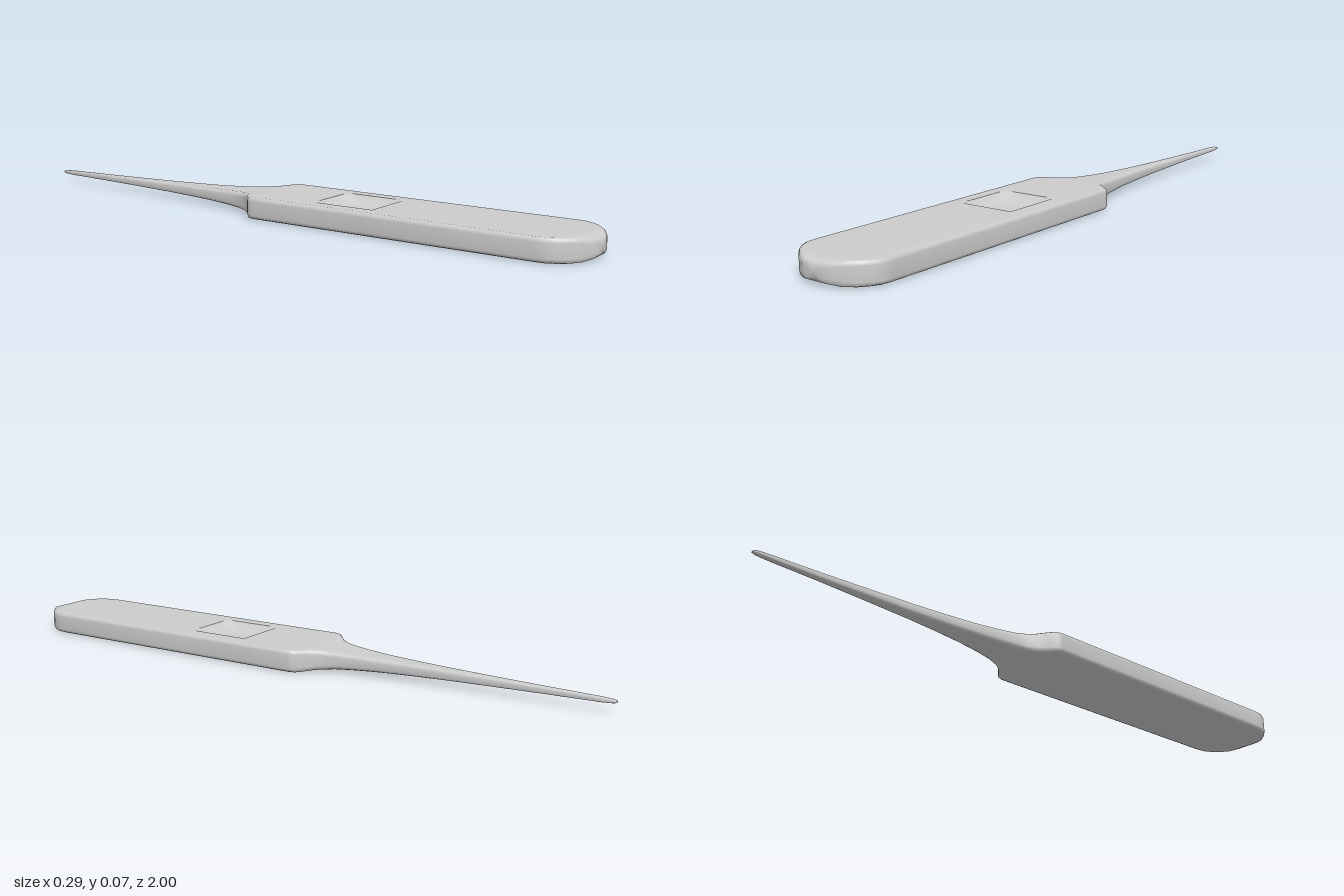
import * as THREE from 'three';

const MID = 0.034; // height of the long axis

// Stations along the length: z, half width, half height
const stations = [
  [1.0, 0.03, 0.019], [0.992, 0.052, 0.026], [0.975, 0.08, 0.032], [0.95, 0.108, 0.034],
  [0.925, 0.128, 0.034], [0.9, 0.14, 0.034], [0.87, 0.143, 0.034], [0.35, 0.143, 0.034],
  [0.15, 0.143, 0.034], [-0.045, 0.143, 0.034], [-0.062, 0.138, 0.034], [-0.08, 0.118, 0.033],
  [-0.1, 0.094, 0.031], [-0.125, 0.077, 0.029], [-0.16, 0.065, 0.026], [-0.22, 0.053, 0.023],
  [-0.3, 0.042, 0.02], [-0.4, 0.032, 0.018], [-0.5, 0.025, 0.016], [-0.65, 0.018, 0.013],
  [-0.8, 0.012, 0.01], [-0.96, 0.009, 0.007], [-0.99, 0.008, 0.005], [-1.0, 0.005, 0.003],
];

// Rounded rectangle, counter-clockwise seen from the front
function section(w, h) {
  const cx = Math.min(0.012, w * 0.55), cy = Math.min(0.013, h * 0.55);
  const inner = (w - cx) * 0.09 / 0.131;
  const q = [[w, h - cy], [w - cx * 0.3, h - cy * 0.3], [w - cx, h], [inner, h]];
  const mirror = [...q].reverse().map(([x, y]) => [-x, y]);
  const top = [...q, ...mirror];
  return [...top, ...top.map(([x, y]) => [-x, -y])];
}

function shellGeometry() {
  const pos = [], index = [], n = 16, last = stations.length - 1;
  for (const [z, w, h] of stations) {
    for (const [x, y] of section(w, h)) pos.push(x, MID + y, z);
  }
  for (let i = 0; i < last; i++) {
    for (let j = 0; j < n; j++) {
      // leave the window opening free in the top strip
      if (j === 3 && stations[i][0] === 0.35) continue;
      const k = (j + 1) % n, a = i * n, b = a + n;
      index.push(a + j, b + j, a + k, b + j, b + k, a + k);
    }
  }
  // End caps
  const c = pos.length / 3;
  pos.push(0, MID, 1, 0, MID, -1);
  for (let j = 0; j < n; j++) {
    const k = (j + 1) % n;
    index.push(c, j, k, c + 1, last * n + k, last * n + j);
  }
  const g = new THREE.BufferGeometry();
  g.setAttribute('position', new THREE.Float32BufferAttribute(pos, 3));
  g.setIndex(index);
  g.computeVertexNormals();
  return g;
}

// Square opening sinking to a soft concave floor
function recessGeometry() {
  const g = new THREE.PlaneGeometry(0.18, 0.2, 20, 20).rotateX(-Math.PI / 2);
  const p = g.attributes.position;
  for (let i = 0; i < p.count; i++) {
    const u = p.getX(i) / 0.09, v = p.getZ(i) / 0.1;
    p.setY(i, -0.028 * (1 - u ** 4) * (1 - v ** 4));
  }
  g.translate(0, MID * 2, 0.25);
  g.computeVertexNormals();
  return g;
}

export function createModel() {
  const model = new THREE.Group();
  const material = new THREE.MeshStandardMaterial({ color: 0xcccccc });
  const add = (name, geometry) => {
    const mesh = new THREE.Mesh(geometry, material);
    mesh.name = name;
    model.add(mesh);
  };
  add('bodyAndProbe', shellGeometry());
  add('windowRecess', recessGeometry());
  return model;
}
